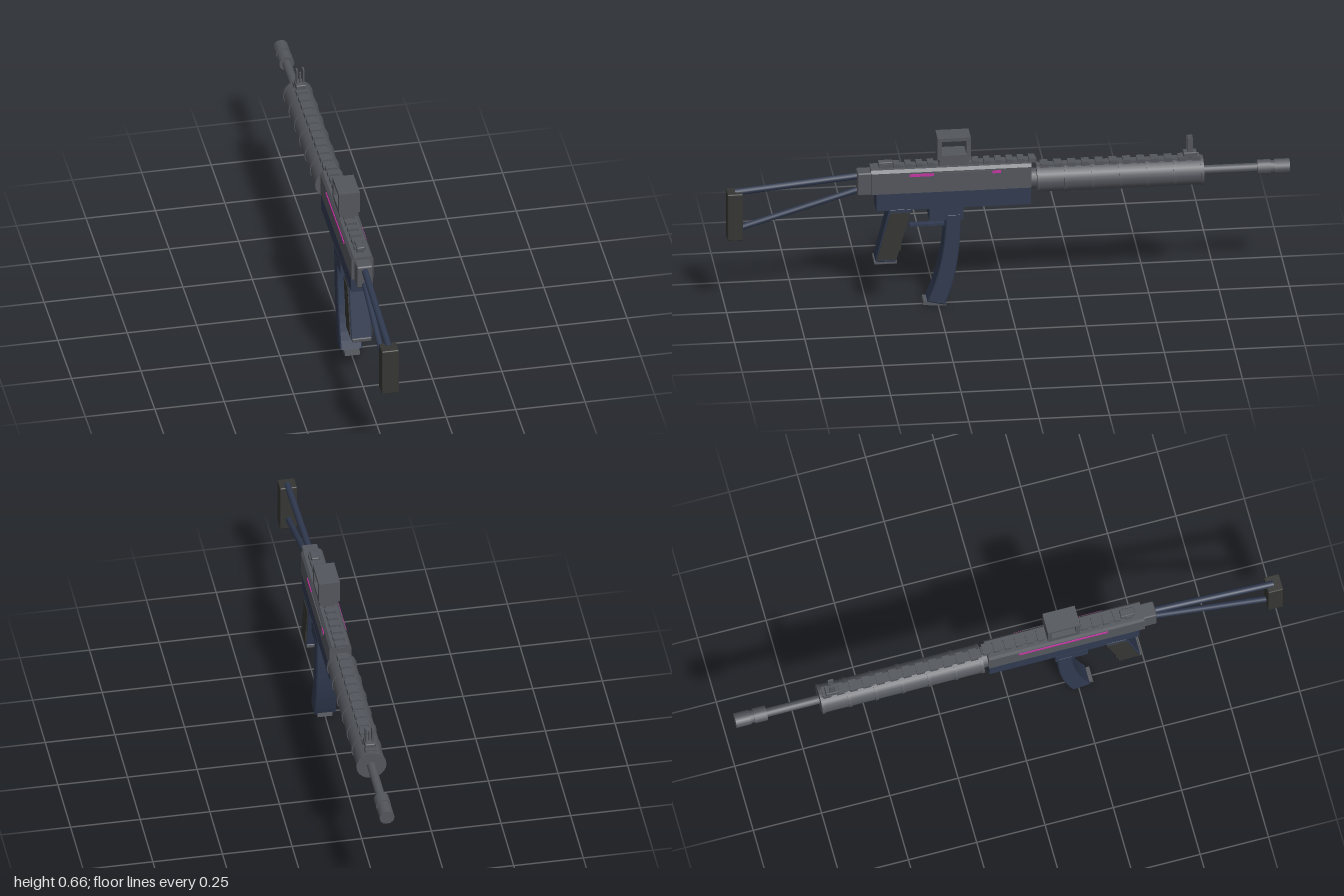
import * as THREE from 'three';
import { RoundedBoxGeometry } from 'three/addons/geometries/RoundedBoxGeometry.js';

const mat = (name, color) => {
  const m = new THREE.MeshStandardMaterial({ color });
  m.name = name;
  return m;
};

export function createModel() {
  const group = new THREE.Group();
  const metal = mat('gunmetal', 0x53565c);
  const navy = mat('navy', 0x303a50);
  const black = mat('black rubber', 0x353533);
  const pink = mat('pink', 0xc035a0);
  const AXIS_Y = 0.47;

  const add = (name, geo, material) => {
    const mesh = new THREE.Mesh(geo, material);
    mesh.name = name;
    group.add(mesh);
    return mesh;
  };
  // Box given by its ranges on x, y and z
  const box = (name, material, x0, x1, y0, y1, z0, z1, r = 0) => {
    const size = [x1 - x0, y1 - y0, z1 - z0];
    const geo = r ? new RoundedBoxGeometry(...size, 1, r) : new THREE.BoxGeometry(...size);
    add(name, geo, material).position.set((x0 + x1) / 2, (y0 + y1) / 2, (z0 + z1) / 2);
  };
  // Side outline in [z, y], extruded across x between x0 and x1
  const slab = (name, material, pts, x0, x1, bevel = 0, hole = null) => {
    const toV = (p) => new THREE.Vector2(-p[0], p[1]);
    const shape = new THREE.Shape(pts.map(toV));
    if (hole) shape.holes.push(new THREE.Path(hole.map(toV)));
    const geo = new THREE.ExtrudeGeometry(shape, {
      depth: x1 - x0 - 2 * bevel, bevelEnabled: bevel > 0, bevelSize: bevel,
      bevelThickness: bevel, bevelOffset: -bevel, bevelSegments: 1,
    });
    geo.rotateY(Math.PI / 2).translate(x0 + bevel, 0, 0);
    add(name, geo, material);
  };
  // Cylinder along z
  const rod = (name, material, r, z0, z1, sides = 16) => {
    const geo = new THREE.CylinderGeometry(r, r, z1 - z0, sides).rotateX(Math.PI / 2);
    add(name, geo, material).position.set(0, AXIS_Y, (z0 + z1) / 2);
  };
  // Straight tube between two [z, y] points
  const strut = (name, material, a, b, r) => {
    const path = new THREE.LineCurve3(new THREE.Vector3(0, a[1], a[0]), new THREE.Vector3(0, b[1], b[0]));
    add(name, new THREE.TubeGeometry(path, 1, r, 12), material);
  };

  // Skeleton stock
  box('stockPad', black, -0.031, 0.031, 0.292, 0.472, 0.944, 1, 0.004);
  strut('stockTopStrut', navy, [0.97, 0.468], [0.51, 0.512], 0.012);
  strut('stockLowerStrut', navy, [0.95, 0.33], [0.51, 0.463], 0.011);
  box('stockMount', metal, -0.029, 0.029, 0.443, 0.53, 0.48, 0.538, 0.006);

  // Receiver halves
  const section = new THREE.Shape([
    [-0.039, 0.45], [0.039, 0.45], [0.039, 0.53], [0.031, 0.541], [-0.031, 0.541], [-0.039, 0.53],
  ].map((p) => new THREE.Vector2(...p)));
  add('upperReceiver', new THREE.ExtrudeGeometry(section, { depth: 0.57, bevelEnabled: false }).translate(0, 0, -0.08), metal);
  box('lowerReceiver', navy, -0.037, 0.037, 0.385, 0.452, -0.078, 0.472);
  box('ejectionCover', metal, 0.038, 0.043, 0.485, 0.525, 0.06, 0.268);
  for (const side of [-1, 1]) {
    box('accentStripe', pink, side * 0.0405 - 0.0015, side * 0.0405 + 0.0015, 0.514, 0.524, 0.03, 0.355);
  }

  // Receiver rail with teeth and rear sight
  box('receiverRail', metal, -0.014, 0.014, 0.535, 0.547, -0.1, 0.46);
  for (let i = 0; i < 14; i++) {
    const z = -0.095 + i * 0.04;
    box('railTooth', metal, -0.02, 0.02, 0.54, 0.555, z, z + 0.023);
  }
  box('rearSight', metal, -0.014, 0.014, 0.545, 0.562, 0.41, 0.462, 0.003);

  // Optic: a square frame open from side to side, on a base
  box('opticBase', metal, -0.034, 0.034, 0.555, 0.58, 0.142, 0.248);
  slab('opticFrame', metal,
    [[0.254, 0.574], [0.136, 0.574], [0.136, 0.656], [0.254, 0.656]], -0.038, 0.038, 0,
    [[0.239, 0.589], [0.151, 0.589], [0.151, 0.643], [0.239, 0.643]]);

  // Round handguard with rings and top rail
  rod('handguardCollar', metal, 0.036, -0.11, -0.07);
  rod('handguard', metal, 0.051, -0.688, -0.1, 20);
  for (let i = 0; i < 7; i++) {
    const z = -0.692 + i * 0.097;
    rod('handguardRing', metal, 0.054, z, z + 0.011, 20);
  }
  box('handguardRail', metal, -0.016, 0.016, 0.505, 0.525, -0.685, -0.1);
  for (let i = 0; i < 12; i++) {
    const z = -0.68 + i * 0.049;
    box('handguardTooth', metal, -0.02, 0.02, 0.515, 0.531, z, z + 0.028);
  }

  // Front sight: base, centre post and two ears
  box('frontSightBase', metal, -0.018, 0.018, 0.525, 0.547, -0.67, -0.622, 0.003);
  box('frontSightPost', metal, -0.003, 0.003, 0.54, 0.588, -0.65, -0.643);
  for (const side of [-1, 1]) {
    box('frontSightEar', metal, side * 0.012 - 0.003, side * 0.012 + 0.003, 0.54, 0.602, -0.656, -0.636);
  }

  // Barrel and muzzle
  rod('barrel', metal, 0.016, -0.9, -0.68);
  rod('muzzleRear', metal, 0.027, -0.932, -0.885);
  rod('muzzleNeck', metal, 0.023, -0.95, -0.93);
  rod('muzzleFront', metal, 0.027, -1, -0.945, 12);

  // Grip with side panels
  slab('grip', navy, [[0.425, 0.39], [0.345, 0.39], [0.402, 0.185], [0.476, 0.185]], -0.038, 0.038, 0.004);
  for (const side of [-1, 1]) {
    const x = side * 0.0385;
    slab('gripPanel', black, [[0.423, 0.375], [0.352, 0.375], [0.401, 0.195], [0.47, 0.195]], x - 0.0025, x + 0.0025);
    box('gripInsert', black, x - 0.003, x + 0.003, 0.23, 0.335, 0.384, 0.432);
  }
  box('gripCap', metal, -0.035, 0.035, 0.175, 0.19, 0.398, 0.48, 0.003);

  // Trigger guard and trigger
  box('triggerGuard', navy, -0.012, 0.012, 0.306, 0.314, 0.215, 0.35);
  box('triggerGuardFront', navy, -0.012, 0.012, 0.306, 0.35, 0.215, 0.222);

  // Curved magazine swept between two arcs, with well and floor plate
  box('magazineWell', navy, -0.038, 0.038, 0.338, 0.39, 0.163, 0.283);
  const rear = new THREE.QuadraticBezierCurve(
    new THREE.Vector2(0.225, 0.36), new THREE.Vector2(0.226, 0.17), new THREE.Vector2(0.29, 0.022));
  const front = new THREE.QuadraticBezierCurve(
    new THREE.Vector2(0.228, 0.008), new THREE.Vector2(0.17, 0.15), new THREE.Vector2(0.172, 0.36));
  const outline = [...rear.getPoints(10), ...front.getPoints(10)].map((p) => [p.x, p.y]);
  slab('magazine', navy, outline, -0.039, 0.039, 0.004);
  slab('magazinePlate', metal, [[0.306, 0.006], [0.303, 0.022], [0.226, 0.018], [0.222, 0]], -0.027, 0.027);

  return group;
}
